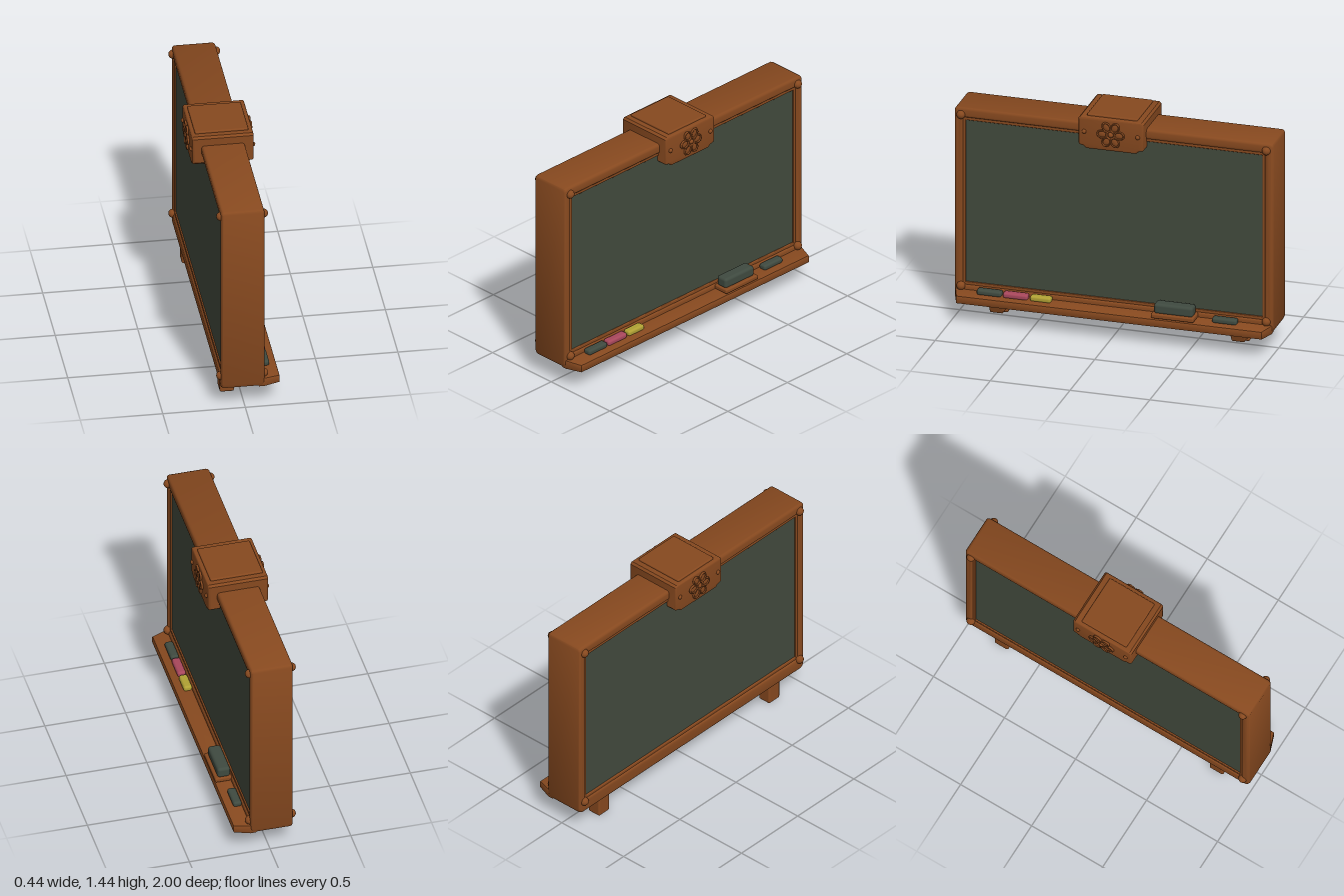
import * as THREE from 'three';
import { RoundedBoxGeometry } from 'three/addons/geometries/RoundedBoxGeometry.js';
import { toCreasedNormals } from 'three/addons/utils/BufferGeometryUtils.js';

const mat = (name, color) => Object.assign(new THREE.MeshStandardMaterial({ color }), { name });

export function createModel() {
  const wood = mat('brown wood', 0x87491f);
  const slate = mat('board slate', 0x424a3d);
  const felt = mat('dark felt', 0x3f4a40);
  const pink = mat('pink chalk', 0xa8475c);
  const yellow = mat('yellow chalk', 0xb0a134);

  const group = new THREE.Group();
  const MID = -0.0135; // middle of the board's thickness

  const add = (name, geo, material, parent = group) => {
    const m = new THREE.Mesh(geo, material);
    m.name = name;
    parent.add(m);
    return m;
  };
  // Rounded box from its extents
  const box = (name, material, [x0, x1], [y0, y1], [z0, z1], r = 0.01, parent = group) => {
    const m = add(name, new RoundedBoxGeometry(x1 - x0, y1 - y0, z1 - z0, 3, r), material, parent);
    m.position.set((x0 + x1) / 2, (y0 + y1) / 2, (z0 + z1) / 2);
    return m;
  };
  const poly = (pts) => new THREE.Shape(pts.map(([a, b]) => new THREE.Vector2(a, b)));
  // Symmetric z-y outline extruded across the thickness with rounded edges
  const across = (shape, x0, x1, bevel) => {
    const g = new THREE.ExtrudeGeometry(shape, {
      depth: x1 - x0 - 2 * bevel, bevelThickness: bevel, bevelSize: bevel,
      bevelOffset: -bevel, bevelSegments: 3, curveSegments: 6,
    });
    g.rotateY(Math.PI / 2).translate(x0 + bevel, 0, 0);
    return toCreasedNormals(g, 0.6);
  };

  // Frame with cut lower corners and the opening for the board
  const outline = poly([[-0.97, 0.13], [0.97, 0.13], [0.99, 0.14], [1, 0.165], [1, 1.345], [0.993, 1.358],
    [0.98, 1.365], [-0.98, 1.365], [-0.993, 1.358], [-1, 1.345], [-1, 0.165], [-0.99, 0.14]]);
  outline.holes.push(new THREE.Path(
    [[-0.945, 0.22], [-0.945, 1.3], [0.945, 1.3], [0.945, 0.22]].map(([a, b]) => new THREE.Vector2(a, b))));
  add('frame', across(outline, -0.145, 0.118, 0.018), wood);

  // Writing surface on both sides with a thin wooden lip
  box('board', slate, [-0.127, 0.1], [0.21, 1.31], [-0.955, 0.955], 0.003);
  for (const x of [-0.129, 0.102]) {
    for (const s of [-1, 1]) {
      box('lipUpright', wood, [x - 0.007, x + 0.007], [0.22, 1.3], s < 0 ? [-0.95, -0.93] : [0.93, 0.95], 0.005);
    }
    box('lipTop', wood, [x - 0.007, x + 0.007], [1.283, 1.305], [-0.95, 0.95], 0.005);
    box('lipBottom', wood, [x - 0.007, x + 0.007], [0.215, 0.236], [-0.95, 0.95], 0.005);
  }

  // Corner studs
  for (const x of [-0.143, 0.117]) for (const y of [0.21, 1.32]) for (const z of [-0.957, 0.957]) {
    add('cornerStud', new THREE.SphereGeometry(0.027, 16, 12), wood).position.set(x, y, z);
  }

  // Chalk tray: plan outline with a top that slopes down to the outer edge
  const tray = new THREE.ExtrudeGeometry(
    poly([[0.09, -0.985], [0.118, -0.985], [0.208, -0.952], [0.208, 0.952], [0.118, 0.985], [0.09, 0.985]]),
    { depth: 0.036, bevelThickness: 0.007, bevelSize: 0.007, bevelSegments: 2 });
  tray.rotateX(-Math.PI / 2).translate(0, 0.138, 0);
  const p = tray.attributes.position;
  for (let i = 0; i < p.count; i++) {
    if (p.getY(i) > 0.16) p.setY(i, p.getY(i) + 0.08 * Math.max(0, 0.215 - p.getX(i)));
  }
  tray.computeVertexNormals();
  add('chalkTray', toCreasedNormals(tray, 0.6), wood);

  // Chalk, eraser and its holder
  const chalks = [[felt, 0.69, 0.845], [pink, 0.525, 0.68], [yellow, 0.38, 0.51], [felt, -0.785, -0.63]];
  for (const [m, z0, z1] of chalks) box('chalk', m, [0.118, 0.17], [0.181, 0.217], [z0, z1], 0.014);
  box('eraserHolder', wood, [0.11, 0.215], [0.186, 0.216], [-0.53, -0.262], 0.009);
  box('eraserHolderRest', wood, [0.11, 0.17], [0.17, 0.195], [-0.51, -0.28], 0.006);
  box('eraser', felt, [0.118, 0.197], [0.208, 0.275], [-0.518, -0.275], 0.018);

  // Feet: upright block with a tapered wedge in front of it
  for (const s of [-1, 1]) {
    const foot = new THREE.Group();
    foot.name = 'foot';
    foot.position.z = 0.757 * s;
    group.add(foot);
    box('footBlock', wood, [-0.125, -0.037], [0, 0.16], [-0.048, 0.048], 0.012, foot);
    const wedge = new RoundedBoxGeometry(0.13, 0.14, 0.116, 3, 0.01);
    const q = wedge.attributes.position;
    for (let i = 0; i < q.count; i++) {
      const t = 0.5 - q.getY(i) / 0.14; // 0 at the top, 1 at the bottom
      q.setX(i, -0.065 + (q.getX(i) + 0.065) * (1 - 0.33 * t));
      q.setZ(i, q.getZ(i) * (1 - 0.3 * t));
    }
    wedge.computeVertexNormals();
    add('footWedge', wedge, wood, foot).position.set(0.02, 0.095, 0);
  }

  // Crest block straddling the top rail
  const crest = poly([[-0.155, 1.22], [0.155, 1.22], [0.175, 1.236], [0.198, 1.24], [0.205, 1.25], [0.205, 1.412],
    [0.192, 1.425], [-0.192, 1.425], [-0.205, 1.412], [-0.205, 1.25], [-0.198, 1.24], [-0.175, 1.236]]);
  add('crest', across(crest, -0.2, 0.173, 0.012), wood);
  box('crestCap', wood, [-0.177, 0.147], [1.41, 1.437], [-0.158, 0.158], 0.008);

  // Flower and rivets on both crest faces
  for (const s of [-1, 1]) {
    const badge = new THREE.Group();
    badge.name = 'crestFlower';
    badge.position.set(MID + s * 0.186, 1.328, 0);
    badge.rotation.y = s * Math.PI / 2;
    group.add(badge);
    for (let i = 0; i < 6; i++) {
      const petal = new THREE.Group();
      petal.name = 'petal';
      petal.rotation.z = i * Math.PI / 3;
      badge.add(petal);
      const leaf = add('petalBody', new THREE.SphereGeometry(1, 14, 10), wood, petal);
      leaf.scale.set(0.032, 0.024, 0.011);
      leaf.position.x = 0.053;
      const rim = add('petalRim', new THREE.TorusGeometry(0.024, 0.005, 6, 18), wood, petal);
      rim.scale.set(1.25, 1, 1.6);
      rim.position.set(0.053, 0, 0.006);
    }
    add('flowerRing', new THREE.TorusGeometry(0.024, 0.006, 8, 20), wood, badge).position.z = 0.008;
    add('flowerCentre', new THREE.SphereGeometry(0.017, 14, 10), wood, badge).position.z = 0.004;
    for (const side of [-1, 1]) {
      const rivet = add('rivet', new THREE.SphereGeometry(0.014, 12, 10), wood, badge);
      rivet.position.set(side * 0.168, 0.002, 0);
    }
  }
  return group;
}
